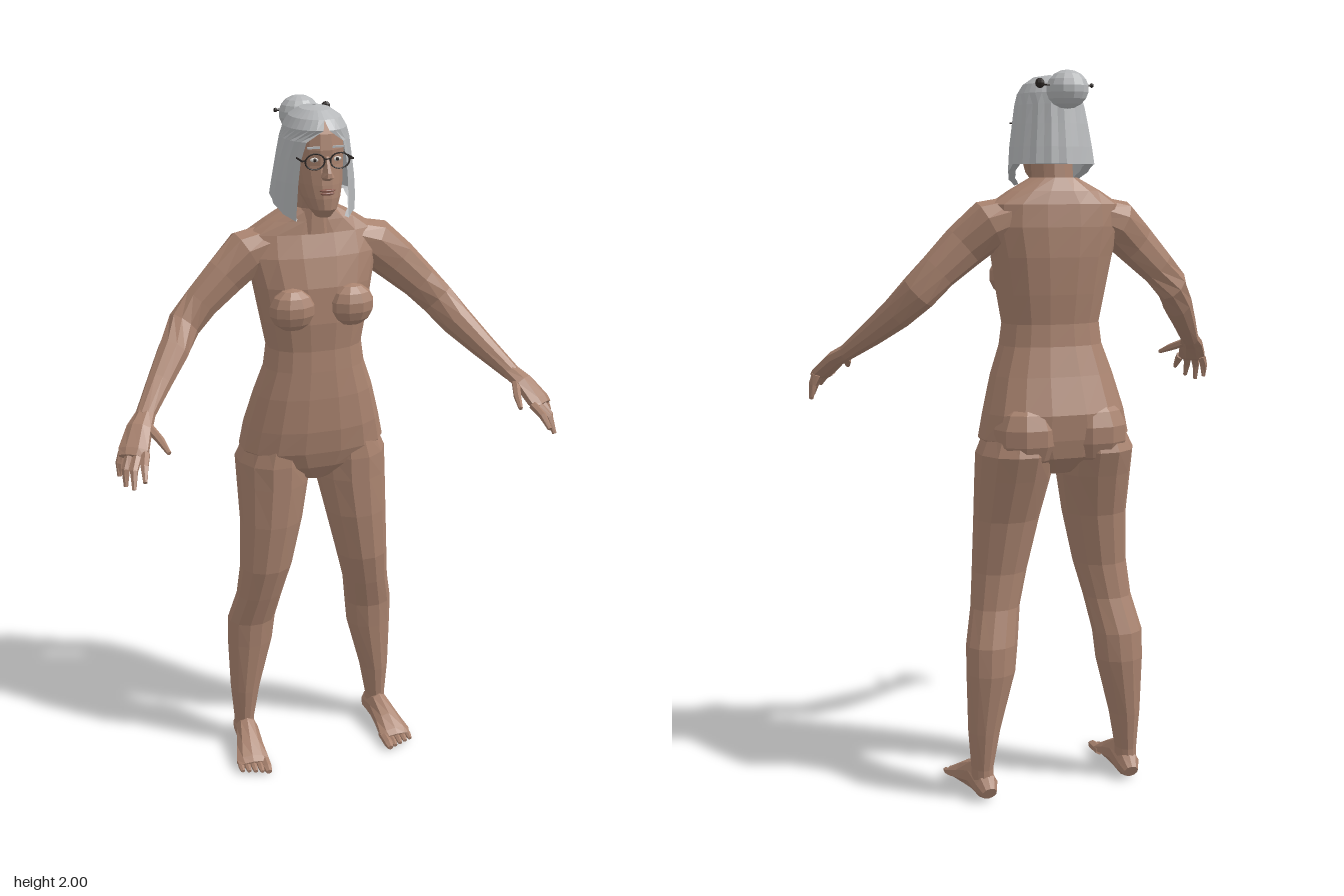
import * as THREE from 'three';

const mat = (name, color) => {
  const m = new THREE.MeshStandardMaterial({ color });
  m.name = name;
  return m;
};
const V = (x, y, z) => new THREE.Vector3(x, y, z);

export function createModel() {
  const model = new THREE.Group();
  model.name = 'figure';
  const skin = mat('skin', 0xa9836f), hair = mat('hair', 0xb6b8ba), dark = mat('dark frame', 0x2c2725);
  const lip = mat('lips', 0x8a5c50), white = mat('eye white', 0xd8d2cc);
  hair.side = THREE.DoubleSide;

  const add = (name, geo, material, pos) => {
    let g = geo.index ? geo.toNonIndexed() : geo;
    g.computeVertexNormals(); // faceted look
    const m = new THREE.Mesh(g, material);
    m.name = name;
    if (pos) m.position.set(...pos);
    model.add(m);
    return m;
  };

  // Closed skin over rings {c,u,v}: centre and half-axes; w = back half-axis scale
  const loft = (rings, n, pw = 1) => {
    const p = [], idx = [];
    const bend = (t) => Math.sign(t) * Math.abs(t) ** pw;
    for (const r of rings) {
      for (let i = 0; i < n; i++) {
        const a = ((i + 0.5) / n) * Math.PI * 2;
        const q = r.c.clone().addScaledVector(r.u, bend(Math.cos(a))).addScaledVector(r.v, bend(Math.sin(a)));
        p.push(q.x, q.y, q.z);
      }
    }
    const L = rings.length, first = L * n, last = first + 1;
    p.push(...rings[0].c.toArray(), ...rings[L - 1].c.toArray());
    for (let i = 0; i < n; i++) {
      const j = (i + 1) % n;
      for (let k = 0; k < L - 1; k++) {
        const a = k * n + i, b = k * n + j;
        idx.push(a, b, a + n, b, b + n, a + n);
      }
      idx.push(first, j, i, last, (L - 1) * n + i, (L - 1) * n + j);
    }
    // Turn the faces outward whichever way the rings run
    let vol = 0;
    const at = (k) => V(p[k * 3], p[k * 3 + 1], p[k * 3 + 2]);
    for (let k = 0; k < idx.length; k += 3) vol += at(idx[k]).dot(at(idx[k + 1]).cross(at(idx[k + 2])));
    if (vol < 0) idx.reverse();
    const g = new THREE.BufferGeometry();
    g.setAttribute('position', new THREE.Float32BufferAttribute(p, 3));
    g.setIndex(idx);
    return g;
  };

  // Upright part from rows [y, x, half width, front z, back z]
  const column = (rows, n, s = 1, pw = 1) => loft(rows.map(([y, x, w, f, b]) => ({
    c: V(x * s, y, (f + b) / 2), u: V(w, 0, 0), v: V(0, 0, (f - b) / 2),
  })), n, pw);

  // Limb along points [x, y, z, sideways radius, upright radius]
  const limb = (pts, n, s = 1) => {
    const c = pts.map((q) => V(q[0] * s, q[1], q[2]));
    return loft(pts.map((q, i) => {
      const t = c[Math.min(i + 1, c.length - 1)].clone().sub(c[Math.max(i - 1, 0)]).normalize();
      const u = V(0, 1, 0).cross(t).normalize();
      return { c: c[i], u: u.clone().multiplyScalar(q[3]), v: t.cross(u).multiplyScalar(q[4]) };
    }), n);
  };

  const ball = (name, r, pos, scale, material, w = 10, h = 7) =>
    add(name, new THREE.SphereGeometry(r, w, h).scale(...scale), material, pos);

  // Torso, neck and head
  add('torso', column([
    [0.93, 0, 0.05, -0.06, -0.19], [0.98, 0, 0.16, -0.025, -0.24], [1.03, 0, 0.215, -0.01, -0.25],
    [1.1, 0, 0.2, 0.0, -0.255], [1.2, 0, 0.173, 0.0, -0.222], [1.28, 0, 0.145, -0.005, -0.2],
    [1.34, 0, 0.137, -0.01, -0.195], [1.42, 0, 0.152, -0.005, -0.205], [1.52, 0, 0.17, -0.012, -0.213],
    [1.6, 0, 0.19, -0.035, -0.212], [1.66, 0, 0.185, -0.06, -0.205], [1.695, 0, 0.13, -0.065, -0.195],
    [1.73, 0, 0.065, -0.07, -0.18],
  ], 16, 1, 0.85), skin);
  add('neck', column([
    [1.66, 0, 0.075, -0.055, -0.19], [1.73, 0, 0.056, -0.06, -0.175], [1.84, 0, 0.056, -0.03, -0.165],
  ], 12), skin);
  add('head', column([
    [1.722, 0, 0.02, 0.012, -0.04], [1.745, 0, 0.038, 0.03, -0.07], [1.775, 0, 0.052, 0.03, -0.11],
    [1.81, 0, 0.063, 0.026, -0.15], [1.86, 0, 0.07, 0.018, -0.18], [1.9, 0, 0.072, 0.02, -0.19],
    [1.94, 0, 0.066, 0.012, -0.18], [1.975, 0, 0.04, -0.03, -0.14],
  ], 16, 1, 0.92), skin);
  add('nose', column([
    [1.824, 0, 0.013, 0.034, 0.0], [1.833, 0, 0.018, 0.05, 0.0], [1.845, 0, 0.012, 0.048, 0.0],
    [1.885, 0, 0.007, 0.026, 0.0],
  ], 8), skin);
  ball('upper lip', 0.022, [0, 1.797, 0.026], [1, 0.2, 0.4], lip);
  ball('lower lip', 0.02, [0, 1.789, 0.026], [1, 0.24, 0.4], lip);

  for (const s of [1, -1]) {
    const side = s > 0 ? 'left' : 'right';
    ball(side + ' chest', 1, [0.085 * s, 1.465, -0.022], [0.066, 0.06, 0.048], skin);
    ball(side + ' buttock', 1, [0.095 * s, 1.04, -0.185], [0.1, 0.1, 0.08], skin);

    // Leg and foot
    add(side + ' leg', column([
      [1.08, 0.105, 0.08, -0.03, -0.23], [0.99, 0.118, 0.108, -0.02, -0.26], [0.92, 0.12, 0.106, -0.02, -0.235],
      [0.8, 0.132, 0.093, -0.02, -0.195], [0.65, 0.152, 0.078, -0.03, -0.175], [0.55, 0.17, 0.07, -0.055, -0.18],
      [0.45, 0.19, 0.073, -0.085, -0.21], [0.37, 0.195, 0.069, -0.09, -0.215], [0.2, 0.215, 0.045, -0.1, -0.2],
      [0.09, 0.221, 0.031, -0.11, -0.188], [0.03, 0.221, 0.03, -0.11, -0.19],
    ], 12, s), skin);
    add(side + ' foot', limb([
      [0.217, 0.028, -0.2, 0.022, 0.02], [0.218, 0.04, -0.175, 0.034, 0.038], [0.222, 0.052, -0.11, 0.035, 0.05],
      [0.23, 0.036, -0.05, 0.043, 0.034], [0.236, 0.022, 0.0, 0.052, 0.02], [0.237, 0.018, 0.02, 0.046, 0.012],
    ], 10, s), skin);
    for (let i = 0; i < 5; i++) {
      const x = 0.2 + i * 0.019, r = i ? 0.0095 : 0.014, z = 0.064 - i * 0.007;
      add(side + ' toe', limb([
        [x - 0.002, 0.02, -0.01, r, r], [x, 0.016, z - 0.018, r, r], [x, 0.013, z, r * 0.7, r * 0.6],
      ], 6, s), skin);
    }

    // Arm, palm and fingers
    add(side + ' arm', limb([
      [0.1, 1.635, -0.13, 0.06, 0.05], [0.185, 1.606, -0.125, 0.06, 0.068], [0.25, 1.55, -0.112, 0.042, 0.062],
      [0.32, 1.485, -0.105, 0.038, 0.053], [0.372, 1.43, -0.095, 0.04, 0.052], [0.415, 1.375, -0.045, 0.042, 0.047],
      [0.47, 1.315, 0.02, 0.034, 0.036], [0.53, 1.252, 0.098, 0.026, 0.023],
    ], 10, s), skin);
    add(side + ' palm', limb([
      [0.522, 1.26, 0.088, 0.026, 0.022], [0.55, 1.235, 0.13, 0.036, 0.022], [0.576, 1.195, 0.176, 0.043, 0.019],
      [0.584, 1.183, 0.19, 0.038, 0.014],
    ], 8, s), skin);
    const fingers = [
      [[0.55, 1.19, 0.2], [0.562, 1.172, 0.24], [0.568, 1.145, 0.275]],
      [[0.57, 1.185, 0.195], [0.588, 1.16, 0.23], [0.594, 1.12, 0.255]],
      [[0.588, 1.185, 0.18], [0.604, 1.155, 0.2], [0.608, 1.112, 0.212]],
      [[0.603, 1.187, 0.16], [0.613, 1.16, 0.165], [0.616, 1.125, 0.17]],
      [[0.527, 1.238, 0.13], [0.507, 1.218, 0.185], [0.495, 1.2, 0.235]],
    ];
    for (const f of fingers) {
      add(side + ' finger', limb(f.map((q, i) => {
        const r = [0.0125, 0.011, 0.006][i];
        return [...q, r, r];
      }), 6, s), skin);
    }

    // Eye, brow and spectacles
    ball(side + ' eye', 0.012, [0.031 * s, 1.876, 0.011], [1, 0.5, 0.5], white);
    ball(side + ' pupil', 0.005, [0.031 * s, 1.876, 0.0155], [1, 1, 0.4], dark);
    add(side + ' brow', new THREE.BoxGeometry(0.034, 0.005, 0.006), hair, [0.034 * s, 1.908, 0.014]);
    const lens = new THREE.TorusGeometry(0.024, 0.0022, 5, 18).scale(1.1, 0.85, 1);
    add(side + ' lens frame', lens, dark, [0.034 * s, 1.874, 0.026]);
    add(side + ' temple arm', new THREE.BoxGeometry(0.003, 0.004, 0.1), dark, [0.07 * s, 1.878, -0.022]);
    add(side + ' frame hinge', new THREE.BoxGeometry(0.012, 0.004, 0.004), dark, [0.065 * s, 1.878, 0.026]);
  }
  add('spectacle bridge', new THREE.BoxGeometry(0.018, 0.003, 0.003), dark, [0, 1.88, 0.028]);

  // Bobbed hair: rows [y, half width, front z, back z, half width of the face opening]
  const rows = [
    [2.0, 0.004, -0.085, -0.095, 0], [1.994, 0.04, -0.03, -0.14, 0], [1.975, 0.068, 0.0, -0.175, 0],
    [1.95, 0.083, 0.018, -0.192, 0.008], [1.92, 0.092, 0.022, -0.2, 0.05], [1.87, 0.102, 0.018, -0.208, 0.063],
    [1.81, 0.112, 0.015, -0.218, 0.069], [1.765, 0.118, 0.01, -0.224, 0.074], [1.765, 0.095, 0.0, -0.195, 0.066],
  ];
  const N = 28, pos = [], idx = [];
  rows.forEach(([y, w, f, b, gap], k) => {
    const open = Math.asin(gap / w), cz = (f + b) / 2, d = (f - b) / 2;
    for (let i = 0; i <= N; i++) {
      const a = open + (i / N) * (Math.PI * 2 - open * 2);
      const drop = k > 6 ? 0.06 * Math.max(0, Math.cos(a) + 0.15) : 0; // longer locks beside the face
      const wave = k > 3 && i % 2 ? 0.97 : 1;
      pos.push(Math.sin(a) * w * wave, y - drop, cz + Math.cos(a) * d * wave);
      if (k && i < N) {
        const q = k * (N + 1) + i, p = q - N - 1;
        idx.push(p, q, p + 1, p + 1, q, q + 1);
      }
    }
  });
  const bob = new THREE.BufferGeometry();
  bob.setAttribute('position', new THREE.Float32BufferAttribute(pos, 3));
  bob.setIndex(idx);
  add('hair', bob, hair);

  // Bun with a beaded pin through it
  ball('hair bun', 0.054, [0, 1.955, -0.225], [1.06, 0.92, 0.95], hair, 12, 9);
  add('hair pin', new THREE.CylinderGeometry(0.003, 0.003, 0.15, 6).rotateZ(Math.PI / 2), dark, [0.01, 1.965, -0.235]);
  ball('pin bead', 0.013, [0.08, 1.968, -0.235], [1, 1, 1], dark, 8, 6);
  ball('pin tip', 0.006, [-0.064, 1.965, -0.235], [1, 1, 1], dark, 6, 5);
  return model;
}
